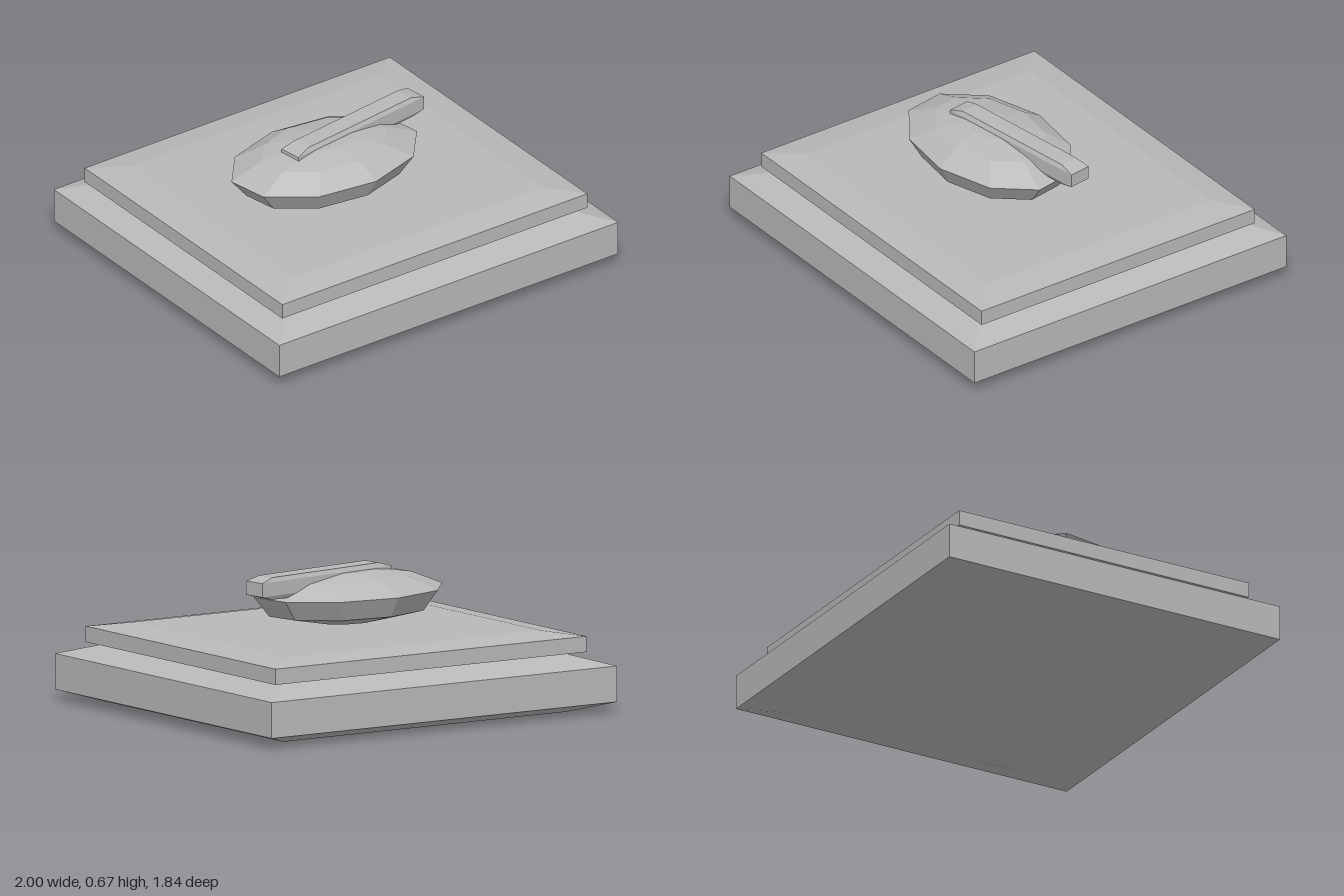
import * as THREE from 'three';

const rad = THREE.MathUtils.degToRad;

// Faceted solid turned from [radius, y] points, bottom to top
function faceted(name, profile, sides, startAngle, material) {
  const points = profile.map(([r, y]) => new THREE.Vector2(r, y));
  const geometry = new THREE.LatheGeometry(points, sides, startAngle).toNonIndexed();
  geometry.computeVertexNormals();
  const mesh = new THREE.Mesh(geometry, material);
  mesh.name = name;
  return mesh;
}

// Box whose top and bottom faces are inset by a shallow bevel
function bevelledSlab(name, halfX, halfZ, bottom, top, material) {
  const r = Math.SQRT2, inset = 0.82 * r;
  const profile = [[0, -1], [inset, -1], [r, -0.62], [r, 0.62], [inset, 1], [0, 1]];
  const mesh = faceted(name, profile, 4, Math.PI / 4, material);
  mesh.scale.set(halfX, (top - bottom) / 2, halfZ);
  mesh.position.y = (top + bottom) / 2;
  return mesh;
}

export function createModel() {
  const group = new THREE.Group();
  group.name = 'pedestalWithStone';

  const stoneGrey = new THREE.MeshStandardMaterial({ color: 0xb8b8b8 });
  stoneGrey.name = 'stoneGrey';

  // Two stacked slabs
  group.add(bevelledSlab('base', 1, 0.918, 0, 0.28, stoneGrey));
  const upper = bevelledSlab('upperSlab', 0.9, 0.804, 0.265, 0.388, stoneGrey);
  group.add(upper);

  // Flattened ten-sided stone hovering just above the slab
  const stone = faceted('stone', [
    [0, 0.402], [0.31, 0.402], [0.84, 0.452], [1, 0.55],
    [0.67, 0.618], [0.3, 0.648], [0, 0.65],
  ], 10, rad(7), stoneGrey);
  stone.scale.set(0.51, 1, 0.34);
  stone.position.set(-0.097, 0, 0.038);
  group.add(stone);

  // Bar lying across the stone, overhanging on the left
  const bar = bevelledSlab('bar', 0.4175, 0.0575, 0.566, 0.674, stoneGrey);
  bar.position.x = 0.0975;
  bar.position.z = 0.003;
  bar.rotation.y = rad(8.1);
  group.add(bar);

  return group;
}
